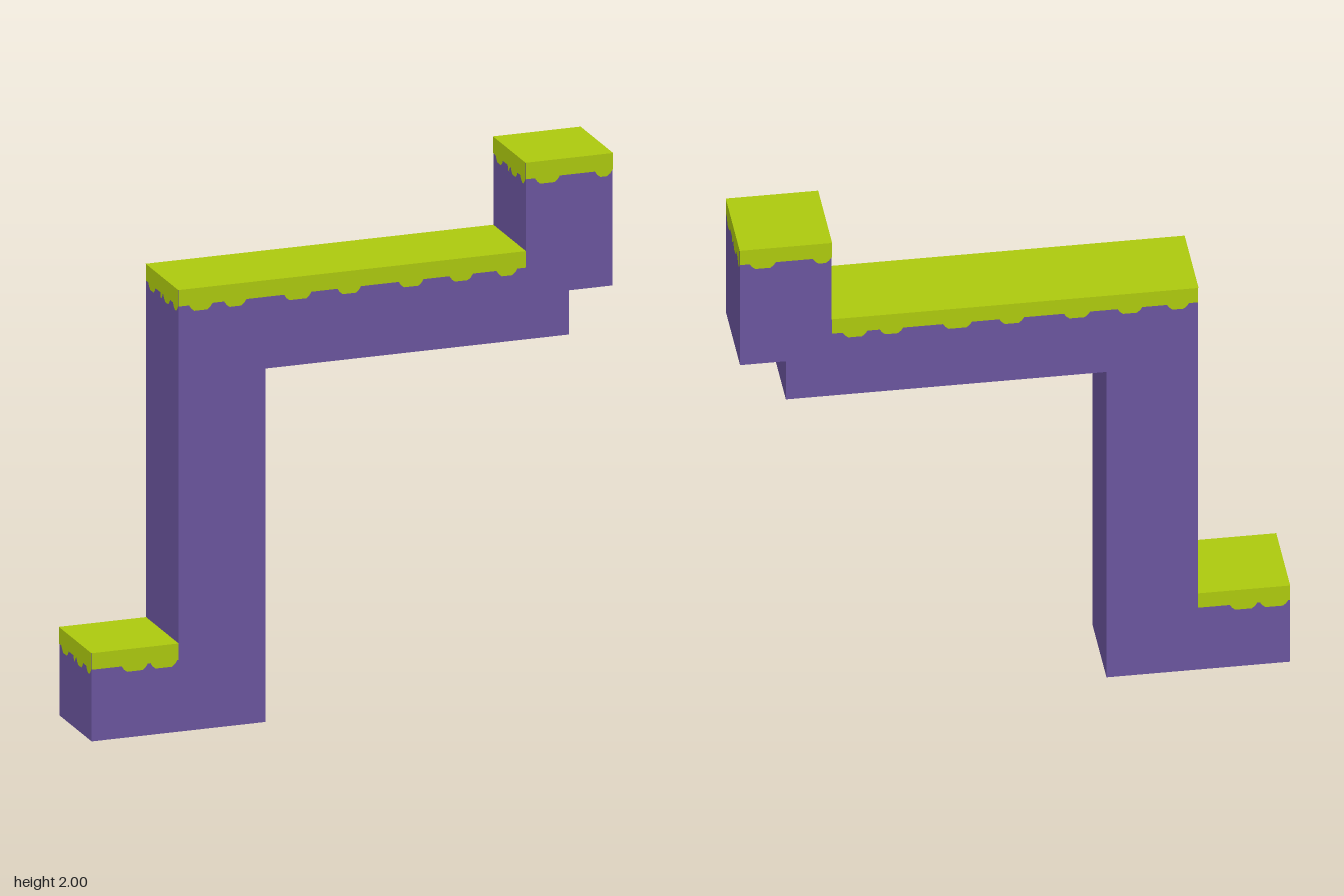
import * as THREE from 'three';

const HALF = 1 / 6; // half the depth of the whole strip
const GAP = 0.0015; // how far the grass stands off the earth

const earth = new THREE.MeshStandardMaterial({ color: 0x6b559f });
earth.name = 'purple earth';
const grass = new THREE.MeshStandardMaterial({ color: 0xaecb0e });
grass.name = 'lime grass';

// Drips per edge: [start, end] measured from the left as one faces that edge
const STEP_DRIPS = [[0.115, 0.215], [0.225, 0.328]];
const DECK_DRIPS = [[0.04, 0.13], [0.175, 0.26], [0.405, 0.51], [0.61, 0.7],
  [0.845, 0.94], [1.04, 1.13], [1.22, 1.3]];
const TOP_DRIPS = [[0.035, 0.13], [0.265, 0.332]];
const END_DRIPS = [[0.025, 0.1], [0.15, 0.175], [0.18, 0.25], [0.28, 0.332]];

// Flat strip of grass, straight on top and dripping below
function skirt(width, drips) {
  const s = new THREE.Shape();
  const w = width / 2;
  s.moveTo(-w, 0);
  s.lineTo(-w, -0.0625);
  for (const [a, b] of drips) {
    s.lineTo(a - w, -0.0625);
    s.lineTo(a - w + 0.008, -0.075);
    s.lineTo(a - w + 0.02, -0.085);
    s.lineTo(b - w - 0.02, -0.085);
    s.lineTo(b - w - 0.008, -0.075);
    s.lineTo(b - w, -0.0625);
  }
  s.lineTo(w, -0.0625);
  s.lineTo(w, 0);
  return new THREE.Mesh(new THREE.ShapeGeometry(s), grass);
}

// Grass on one level: top plate plus a skirt on every exposed side
function grassLevel(name, x0, x1, y, drips, rightEnd) {
  const g = new THREE.Group();
  g.name = name;
  const w = x1 - x0;
  const top = new THREE.Mesh(new THREE.PlaneGeometry(w + GAP * 2, (HALF + GAP) * 2), grass);
  top.name = name + 'Top';
  top.rotation.x = -Math.PI / 2;
  g.add(top);

  const sides = [
    ['Front', w, drips, 0, HALF],
    ['Back', w, drips, Math.PI, HALF],
    ['RightEnd', HALF * 2, END_DRIPS, -Math.PI / 2, w / 2],
  ];
  if (rightEnd) sides.push(['LeftEnd', HALF * 2, END_DRIPS, Math.PI / 2, w / 2]);
  for (const [side, width, d, angle, dist] of sides) {
    const m = skirt(width, d);
    m.name = name + side;
    m.rotation.y = angle;
    m.position.set(Math.sin(angle) * (dist + GAP), 0, Math.cos(angle) * (dist + GAP));
    g.add(m);
  }
  g.position.set((x0 + x1) / 2, y, 0);
  return g;
}

export function createModel() {
  const model = new THREE.Group();
  model.name = 'steppedPlatform';
  const a = 2 / 3, b = 1 / 3;

  // Stepped earth body: low step, pillar, bridge and raised end
  const outline = [
    [-1, 0], [-b, 0], [-b, 4 / 3], [5 / 6, 4 / 3], [5 / 6, 1.5], [1, 1.5],
    [1, 2 - GAP], [a, 2 - GAP], [a, 5 / 3 - GAP], [-a, 5 / 3 - GAP],
    [-a, b - GAP], [-1, b - GAP],
  ];
  const shape = new THREE.Shape(outline.map(([x, y]) => new THREE.Vector2(x, y)));
  const geo = new THREE.ExtrudeGeometry(shape, { depth: HALF * 2, bevelEnabled: false });
  geo.translate(0, 0, -HALF);
  const body = new THREE.Mesh(geo, earth);
  body.name = 'earthBody';
  model.add(body);

  // Grass on the three levels
  model.add(
    grassLevel('stepGrass', -1, -a, b, STEP_DRIPS, false),
    grassLevel('bridgeGrass', -a, a, 5 / 3, DECK_DRIPS, false),
    grassLevel('raisedGrass', a, 1, 2, TOP_DRIPS, true),
  );
  return model;
}
